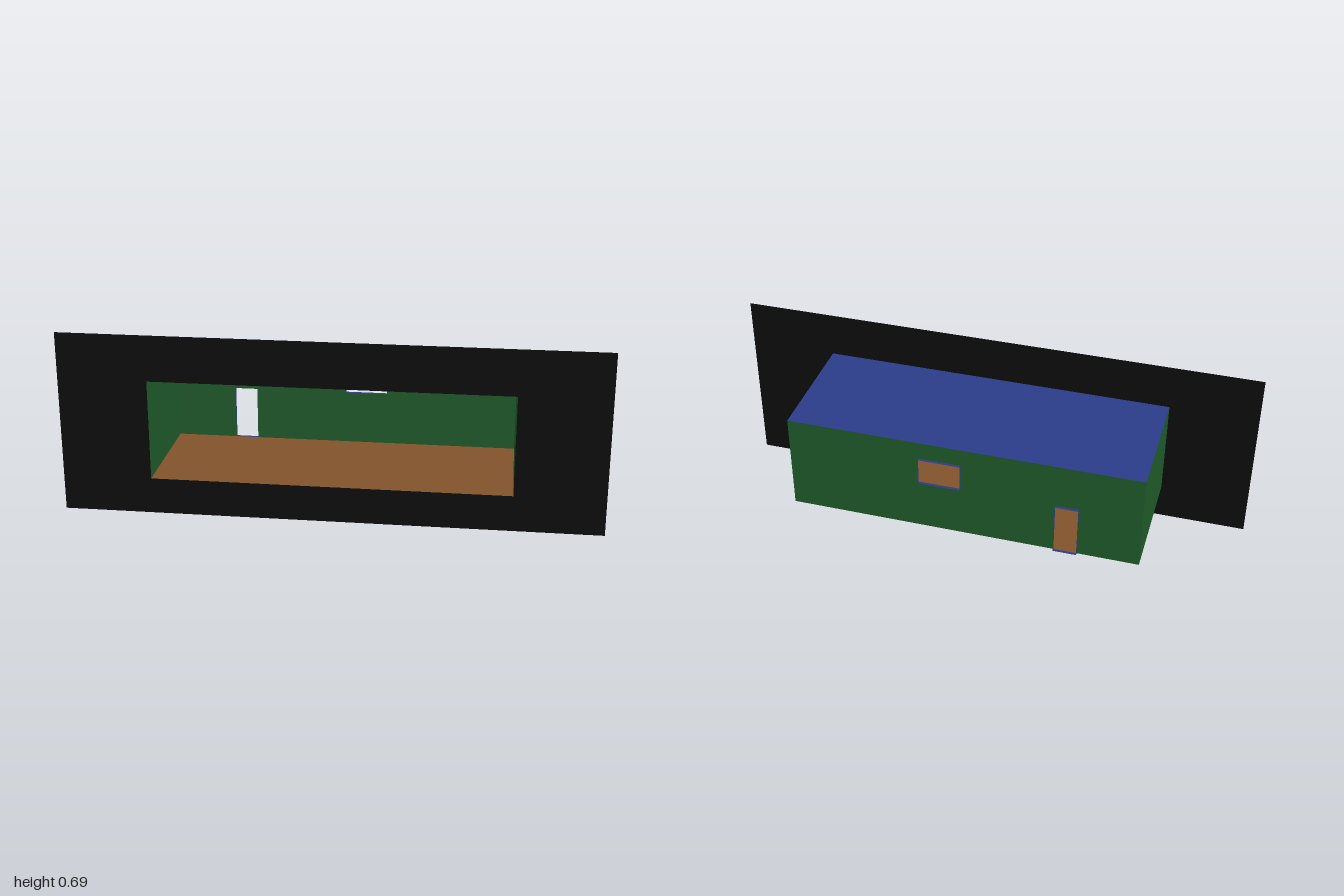
import * as THREE from 'three';

// Room extents, rear reveal depth and openings [x0, x1, y0, y1]
const X = 0.667, Y0 = 0.137, Y1 = 0.516, ZF = 0.241, ZB = -0.23, ZR = -0.241;
const DOOR = [-0.436, -0.349, Y0, 0.341];
const WINDOW = [0.005, 0.165, 0.341, 0.447];

const paint = (color) => new THREE.MeshStandardMaterial({ color, side: THREE.DoubleSide });

function rectPoints([x0, x1, y0, y1]) {
  return [[x0, y0], [x1, y0], [x1, y1], [x0, y1]].map(([x, y]) => new THREE.Vector2(x, y));
}

export function createModel() {
  const model = new THREE.Group();
  const black = paint(0x0d0d0d), green = paint(0x1f5a2a), blue = paint(0x2a3c88), brown = paint(0x80522a);

  function add(parent, name, geometry, material, x = 0, y = 0, z = 0) {
    const mesh = new THREE.Mesh(geometry, material);
    mesh.name = name;
    mesh.position.set(x, y, z);
    parent.add(mesh);
    return mesh;
  }
  const horizontal = (w, d) => new THREE.PlaneGeometry(w, d).rotateX(-Math.PI / 2);
  const sideways = (d, h) => new THREE.PlaneGeometry(d, h).rotateY(Math.PI / 2);

  // Front panel with the large opening
  const panel = new THREE.Shape(rectPoints([-1, 1, 0, 0.69]));
  panel.holes.push(new THREE.Path(rectPoints([-X, X, Y0, Y1])));
  add(model, 'frontPanel', new THREE.ShapeGeometry(panel), black, 0, 0, ZF);

  // Back wall: doorway notched from the bottom edge, window cut as a hole
  const [dx0, dx1, , dTop] = DOOR;
  const wall = new THREE.Shape([
    [-X, Y0], [dx0, Y0], [dx0, dTop], [dx1, dTop], [dx1, Y0], [X, Y0], [X, Y1], [-X, Y1],
  ].map(([x, y]) => new THREE.Vector2(x, y)));
  wall.holes.push(new THREE.Path(rectPoints(WINDOW)));
  add(model, 'backWall', new THREE.ShapeGeometry(wall), green, 0, 0, ZB);

  // Side walls, floor and roof
  const depth = ZF - ZB, zMid = (ZF + ZB) / 2, height = Y1 - Y0;
  for (const [name, s] of [['leftWall', 1], ['rightWall', -1]]) {
    add(model, name, sideways(depth, height), green, s * X, (Y0 + Y1) / 2, zMid);
  }
  add(model, 'floor', horizontal(2 * X, depth), brown, 0, Y0, zMid);
  add(model, 'roof', horizontal(2 * X, depth), blue, 0, Y1, zMid);

  // Shallow reveals standing out behind the door and window openings
  for (const [name, [x0, x1, y0, y1]] of [['doorReveal', DOOR], ['windowReveal', WINDOW]]) {
    const reveal = new THREE.Group();
    reveal.name = name;
    const d = ZB - ZR, z = (ZB + ZR) / 2;
    for (const x of [x0, x1]) add(reveal, 'jamb', sideways(d, y1 - y0), blue, x, (y0 + y1) / 2, z);
    add(reveal, 'sill', horizontal(x1 - x0, d), blue, (x0 + x1) / 2, y0, z);
    add(reveal, 'head', horizontal(x1 - x0, d), blue, (x0 + x1) / 2, y1, z);
    model.add(reveal);
  }
  return model;
}
